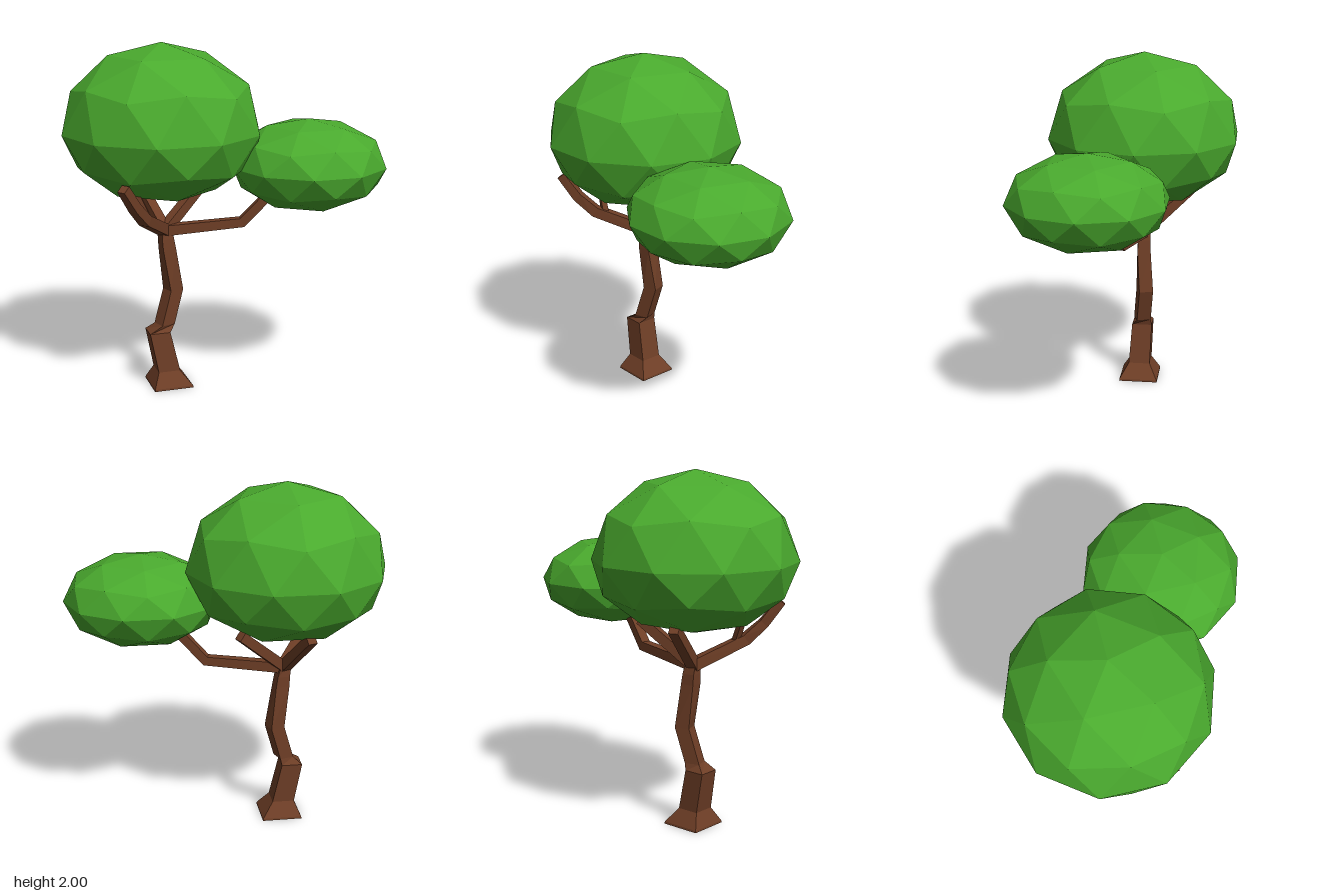
import * as THREE from 'three';

const bark = new THREE.MeshStandardMaterial({ color: 0x6e3e26 });
bark.name = 'bark brown';
const leaf = new THREE.MeshStandardMaterial({ color: 0x4aaa2e });
leaf.name = 'leaf green';

// Faceted closed solid through rings of four corners, listed from bottom to top
function loft(rings) {
  const pos = [];
  const tri = (...corners) => corners.forEach((p) => pos.push(p.x, p.y, p.z));
  for (let i = 0; i + 1 < rings.length; i++) {
    const a = rings[i], b = rings[i + 1];
    for (let k = 0; k < 4; k++) {
      const n = (k + 1) % 4;
      tri(a[k], b[k], a[n]);
      tri(b[k], b[n], a[n]);
    }
  }
  const s = rings[0], e = rings[rings.length - 1];
  tri(s[0], s[1], s[2]);
  tri(s[0], s[2], s[3]);
  tri(e[2], e[1], e[0]);
  tri(e[3], e[2], e[0]);
  const geo = new THREE.BufferGeometry();
  geo.setAttribute('position', new THREE.Float32BufferAttribute(pos, 3));
  geo.computeVertexNormals();
  return geo;
}

// Square ring of a given side around a centre, in the plane of u and v
function squareRing(centre, u, v, side, turn = 0) {
  return [0, 1, 2, 3].map((k) => {
    const a = Math.PI / 4 + turn + (k * Math.PI) / 2;
    const r = side * Math.SQRT1_2;
    return centre.clone()
      .addScaledVector(u, Math.cos(a) * r)
      .addScaledVector(v, Math.sin(a) * r);
  });
}

// Square limb bent along a path; each point is [x, y, z, thickness]
function limb(path) {
  const pts = path.map((p) => new THREE.Vector3(p[0], p[1], p[2]));
  const up = new THREE.Vector3(0, 1, 0);
  return loft(pts.map((p, i) => {
    const t = new THREE.Vector3();
    if (i > 0) t.add(p.clone().sub(pts[i - 1]).normalize());
    if (i + 1 < pts.length) t.add(pts[i + 1].clone().sub(p).normalize());
    t.normalize();
    const u = up.clone().cross(t).normalize();
    const v = u.clone().cross(t);
    return squareRing(p, u, v, path[i][3]);
  }));
}

// Faceted ball with a vertex at the pole and separate heights above and below its middle
function crown(radius, above, below) {
  const geo = new THREE.IcosahedronGeometry(1, 1);
  geo.rotateZ(Math.atan(2 / (1 + Math.sqrt(5))));
  geo.rotateY(Math.PI);
  const p = geo.attributes.position;
  for (let i = 0; i < p.count; i++) {
    const y = p.getY(i);
    p.setXYZ(i, p.getX(i) * radius, y * (y > 0 ? above : below), p.getZ(i) * radius);
  }
  geo.computeVertexNormals();
  return geo;
}

export function createModel() {
  const tree = new THREE.Group();
  tree.name = 'tree';
  const add = (name, geo, mat) => {
    const mesh = new THREE.Mesh(geo, mat);
    mesh.name = name;
    tree.add(mesh);
    return mesh;
  };

  // Crooked trunk with flared foot: x, y, z, side, turn
  const X = new THREE.Vector3(1, 0, 0), Z = new THREE.Vector3(0, 0, 1);
  const trunk = [
    [-0.275, 0, -0.145, 0.231, 0.32],
    [-0.275, 0.012, -0.145, 0.228, 0.32],
    [-0.288, 0.095, -0.15, 0.128, 0.32],
    [-0.33, 0.33, -0.175, 0.12, 0.32],
    [-0.29, 0.37, -0.163, 0.085, 0],
    [-0.228, 0.57, -0.163, 0.084, 0],
    [-0.264, 0.82, -0.165, 0.078, 0.2],
    [-0.27, 0.88, -0.168, 0.072, 0.2],
    [-0.28, 0.965, -0.172, 0.06, 0],
  ];
  add('trunk', loft(trunk.map(([x, y, z, side, turn]) =>
    squareRing(new THREE.Vector3(x, y, z), X, Z, side, turn))), bark);

  // Branches fanning out from the fork
  const fork = [-0.28, 0.93, -0.17];
  const branches = {
    rightBranch: [[...fork, 0.065], [-0.52, 1.06, 0.01, 0.06], [-0.61, 1.15, 0.055, 0.055], [-0.7, 1.275, 0.085, 0.05]],
    rightTwig: [[-0.47, 1.04, -0.02, 0.035], [-0.53, 1.2, -0.06, 0.03]],
    leftFrontBranch: [[...fork, 0.06], [0.11, 0.965, 0.05, 0.055], [0.24, 1.13, 0.14, 0.052]],
    leftBranch: [[...fork, 0.06], [0.02, 1.17, -0.205, 0.055]],
    backBranch: [[...fork, 0.06], [-0.285, 1.18, -0.46, 0.055]],
  };
  for (const [name, path] of Object.entries(branches)) add(name, limb(path), bark);

  // Leaf crowns
  add('largeCrown', crown(0.568, 0.49, 0.4), leaf).position.set(-0.285, 1.51, -0.168);
  add('smallCrown', crown(0.447, 0.26, 0.26), leaf).position.set(0.4, 1.31, 0.286);

  return tree;
}
